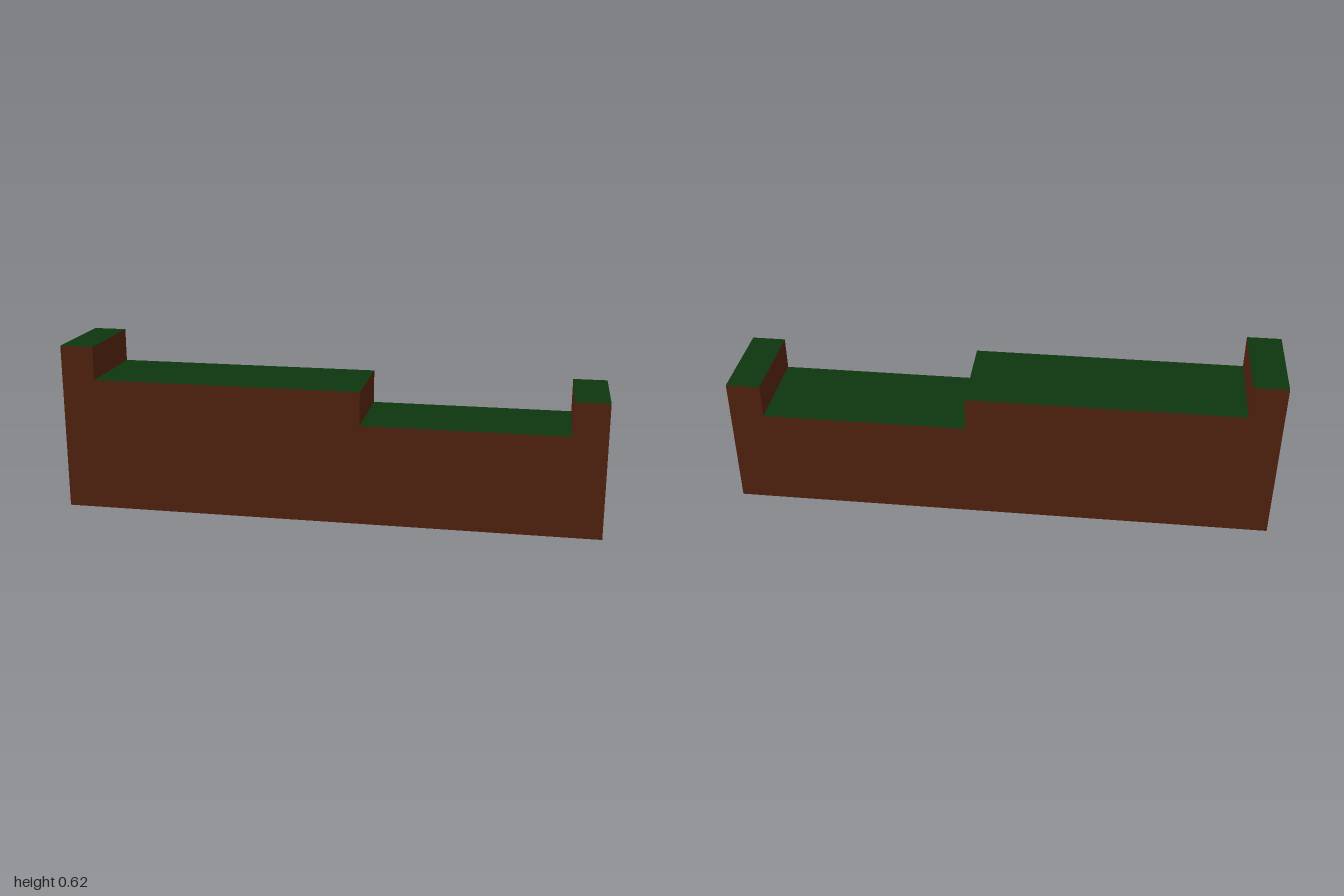
import * as THREE from 'three';

const HALF_DEPTH = 0.172;

// Stepped ground line from left to right: [x start, x end, height]
const STEPS = [
  [-1, -0.875, 0.625],
  [-0.875, 0.125, 0.5],
  [0.125, 0.875, 0.375],
  [0.875, 1, 0.5],
];

export function createModel() {
  const group = new THREE.Group();
  const soil = new THREE.MeshStandardMaterial({ color: 0x50210e, side: THREE.DoubleSide });
  soil.name = 'soil brown';
  const grass = new THREE.MeshStandardMaterial({ color: 0x0e350f, side: THREE.DoubleSide });
  grass.name = 'grass green';

  const add = (name, geometry, material) => {
    const mesh = new THREE.Mesh(geometry, material);
    mesh.name = name;
    group.add(mesh);
    return mesh;
  };

  // Horizontal sheet facing up (or down for the floor)
  const sheet = (name, x0, x1, y, material, up = true) => {
    const geometry = new THREE.PlaneGeometry(x1 - x0, HALF_DEPTH * 2);
    geometry.rotateX(up ? -Math.PI / 2 : Math.PI / 2);
    add(name, geometry, material).position.set((x0 + x1) / 2, y, 0);
  };

  // Side walls follow the stepped outline
  const outline = new THREE.Shape();
  outline.moveTo(-1, 0).lineTo(1, 0);
  for (const [x0, x1, y] of [...STEPS].reverse()) outline.lineTo(x1, y).lineTo(x0, y);
  outline.closePath();
  add('frontWall', new THREE.ShapeGeometry(outline), soil).position.z = HALF_DEPTH;
  const back = new THREE.ShapeGeometry(outline);
  back.scale(-1, 1, 1);
  back.rotateY(Math.PI);
  // restore outward winding after the mirror
  back.setIndex(Array.from(back.index.array).reverse());
  back.computeVertexNormals();
  add('backWall', back, soil).position.z = -HALF_DEPTH;

  // Floor; both ends stay open
  sheet('floor', -1, 1, 0, soil, false);

  // Grass tops and the soil risers between them
  STEPS.forEach(([x0, x1, y], i) => {
    sheet('grassTop' + (i + 1), x0, x1, y, grass);
    if (i === 0) return;
    const previous = STEPS[i - 1][2];
    const riser = new THREE.PlaneGeometry(HALF_DEPTH * 2, Math.abs(y - previous));
    riser.rotateY(previous > y ? Math.PI / 2 : -Math.PI / 2);
    add('riser' + i, riser, soil).position.set(x0, (y + previous) / 2, 0);
  });

  return group;
}
